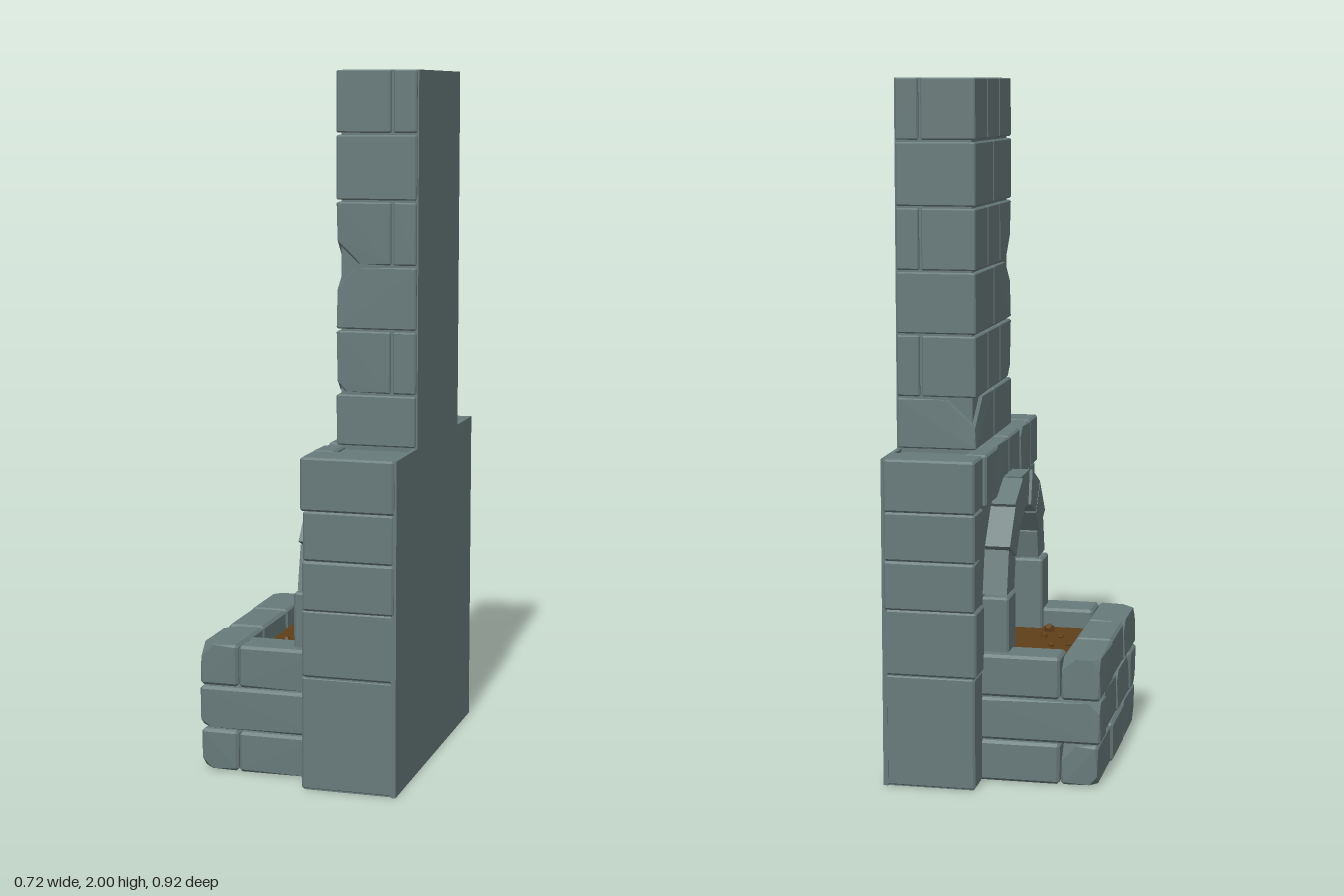
import * as THREE from 'three';
import { ConvexGeometry } from 'three/addons/geometries/ConvexGeometry.js';

// Local frame before the final turn: x = depth (back is +x), z = along the wall.
const TURN = 0.157;

export function createModel() {
  const stone = new THREE.MeshStandardMaterial({ color: 0x687a7a, flatShading: true });
  stone.name = 'greyStone';
  const soil = new THREE.MeshStandardMaterial({ color: 0x5f3f18, flatShading: true });
  soil.name = 'brownAsh';

  const model = new THREE.Group();
  model.name = 'fireplace';
  const body = new THREE.Group();
  body.name = 'stonework';
  body.rotation.y = TURN;
  model.add(body);

  let seed = 7;
  const rand = () => (seed = (seed * 16807) % 2147483647) / 2147483647;

  const group = (name) => {
    const g = new THREE.Group();
    g.name = name;
    body.add(g);
    return g;
  };
  const add = (parent, name, geo, mat = stone) => {
    const m = new THREE.Mesh(geo, mat);
    m.name = name;
    parent.add(m);
    return m;
  };
  const box = (parent, name, x, y, z) => {
    const g = new THREE.BoxGeometry(x[1] - x[0], y[1] - y[0], z[1] - z[0]);
    g.translate((x[0] + x[1]) / 2, (y[0] + y[1]) / 2, (z[0] + z[1]) / 2);
    return add(parent, name, g);
  };

  // Bevelled block; chips cut corners off: [signX, signY, signZ, size]
  const block = (parent, name, x, y, z, chips = [], b = 0.006) => {
    const pts = [];
    for (const i of [0, 1]) for (const j of [0, 1]) for (const k of [0, 1]) {
      const s = [i * 2 - 1, j * 2 - 1, k * 2 - 1];
      const chip = chips.find((c) => c[0] === s[0] && c[1] === s[1] && c[2] === s[2]);
      const p = [x[i], y[j], z[k]];
      for (let a = 0; a < 3; a++) {
        const q = p.map((v, n) => {
          if (chip) return v - s[n] * (n === a ? chip[3] * (0.8 + 0.4 * rand()) : 0.003);
          return v - (n === a ? 0 : s[n] * b);
        });
        pts.push(new THREE.Vector3(...q));
      }
    }
    return add(parent, name, new ConvexGeometry(pts));
  };

  // Shape drawn in (z, y), given thickness from x0 to x1
  const slab = (parent, name, shape, x0, x1) => {
    const g = new THREE.ExtrudeGeometry(shape, { depth: x1 - x0, bevelEnabled: false, curveSegments: 8 });
    g.rotateY(-Math.PI / 2);
    g.translate(x1, 0, 0);
    return add(parent, name, g);
  };

  // Lower wall with an arched recess, closed by a thin back
  const mid = 0.02, spring = 0.54, inner = 0.215, outer = 0.31;
  const wall = group('lowerWall');
  const outline = new THREE.Shape();
  outline.moveTo(-0.415, 0.005);
  outline.lineTo(mid - inner, 0.005);
  outline.lineTo(mid - inner, spring);
  outline.absarc(mid, spring, inner, Math.PI, 0, true);
  outline.lineTo(mid + inner, 0.005);
  outline.lineTo(0.455, 0.005);
  outline.lineTo(0.455, 0.94);
  outline.lineTo(-0.415, 0.94);
  outline.closePath();
  slab(wall, 'archedWall', outline, 0.03, 0.28);
  box(wall, 'backPanel', [0.278, 0.292], [0.005, 0.95], [-0.42, 0.462]);

  // Corner pillars, course by course
  const courses = [0.005, 0.33, 0.52, 0.66, 0.8, 0.95];
  const bulge = [-0.008, -0.004, 0.005, 0, 0.004];
  for (let i = 0; i < 5; i++) {
    const y = [courses[i], courses[i + 1]];
    const chipR = i === 1 ? [[-1, -1, -1, 0.03]] : i === 3 ? [[-1, 1, -1, 0.03]] : [];
    const chipL = i === 2 ? [[-1, 1, 1, 0.03]] : [];
    block(wall, 'pillarBlock', [0.018 + rand() * 0.008, 0.286], y, [0.35, 0.465 + bulge[i]], chipR);
    block(wall, 'pillarBlock', [0.018 + rand() * 0.008, 0.286], y, [-0.423 - bulge[i] * 0.6, -0.31], chipL);
  }

  // Row of coping stones above the arch
  const cope = [-0.31, -0.15, 0.03, 0.2, 0.35];
  for (let i = 0; i < 4; i++) {
    block(wall, 'copingStone', [0.008 + 0.012 * rand(), 0.08], [0.8, 0.95], [cope[i] + 0.003, cope[i + 1] - 0.003],
      i % 2 ? [[-1, 1, -1, 0.03]] : []);
  }

  // Arch stones and upright jambs
  const arch = group('arch');
  const count = 7;
  for (let i = 0; i < count; i++) {
    const a0 = (i / count) * Math.PI + 0.015, a1 = ((i + 1) / count) * Math.PI - 0.015;
    const s = new THREE.Shape();
    const at = (r, a) => [mid + r * Math.cos(a), spring + r * Math.sin(a)];
    s.moveTo(...at(inner - 0.01, a0));
    s.lineTo(...at(outer, a0));
    s.lineTo(...at(outer, a1));
    s.lineTo(...at(inner - 0.01, a1));
    s.closePath();
    slab(arch, 'archStone', s, -0.045 + 0.014 * rand(), 0.06);
  }
  for (const side of [-1, 1]) {
    const z = [mid + side * (inner - 0.01), mid + side * outer].sort((a, b) => a - b);
    block(arch, 'jambStone', [-0.045, 0.06], [0.3, spring - 0.003], z);
  }

  // Chimney: core plus staggered courses, flat at the back
  const chimney = group('chimney');
  box(chimney, 'chimneyCore', [0.07, 0.292], [0.94, 2], [-0.237, 0.24]);
  const rows = [0.95, 1.1, 1.28, 1.46, 1.64, 1.825, 2];
  for (let i = 0; i < 6; i++) {
    const y = [rows[i] + 0.003, rows[i + 1] - (i === 5 ? 0 : 0.003)];
    const odd = i % 2 === 1;
    const cuts = odd ? [-0.247, -0.08, 0.085, 0.25] : [-0.247, 0.0, 0.25];
    const depth = odd ? 0.215 : 0.288;
    const n = cuts.length - 1;
    for (let k = 0; k < n; k++) {
      const chips = [];
      if (k === n - 1 && i === 2) chips.push([-1, 1, 1, 0.07]);
      if (k === n - 1 && i === 3) chips.push([-1, -1, 1, 0.07]);
      if (k === n - 1 && i === 1) chips.push([-1, -1, 1, 0.03]);
      if (k === 0 && i === 0) chips.push([-1, 1, -1, 0.09]);
      block(chimney, 'chimneyBrick', [0.058, depth], y,
        [cuts[k] + (k ? 0.003 : 0), cuts[k + 1] - (k < n - 1 ? 0.003 : 0)], chips, 0.004);
    }
    if (odd) for (const z of [[-0.247, -0.15], [0.15, 0.25]]) {
      block(chimney, 'chimneyEndBrick', [0.222, 0.288], y, z, [], 0.004);
    }
  }

  // Raised hearth: three courses, open underneath
  const hearth = group('hearth');
  const levels = [0.005, 0.127, 0.254, 0.38];
  const front = -0.318, lip = -0.203, zA = -0.324, zB = 0.365, inA = -0.215, inB = 0.247;
  for (let i = 0; i < 3; i++) {
    const y = [levels[i] + 0.002, levels[i + 1] - 0.002];
    const odd = i === 1;
    const cuts = odd ? [inA, 0.015, inB] : [zA, -0.09, 0.13, zB];
    const n = cuts.length - 1;
    for (let k = 0; k < n; k++) {
      const chips = [];
      if (k === 0) chips.push([-1, i ? 1 : -1, -1, 0.03], [1, 1, -1, 0.04]);
      if (k === n - 1) chips.push([-1, i ? 1 : -1, 1, 0.035], [-1, 1, -1, 0.03]);
      block(hearth, 'hearthFrontBrick', [front + 0.008 * rand(), lip], y, [cuts[k] + 0.002, cuts[k + 1] - 0.002], chips, 0.008);
    }
    const x = [odd ? front : lip + 0.003, 0.035];
    block(hearth, 'hearthSideBrick', x, y, [zA, inA], odd ? [[-1, 1, -1, 0.03]] : [], 0.008);
    block(hearth, 'hearthSideBrick', x, y, [inB, zB], odd ? [[-1, -1, 1, 0.03]] : [[1, -1, 1, 0.03]], 0.008);
  }

  // Ash bed and scattered lumps
  const bedY = 0.32;
  const bed = new THREE.PlaneGeometry(0.49, 0.47).rotateX(-Math.PI / 2);
  bed.translate(0.04, bedY, 0.017);
  add(hearth, 'ashBed', bed, soil);
  const lumps = [[-0.11, -0.17, 0.017], [-0.12, -0.06, 0.011], [-0.16, 0.04, 0.01], [-0.11, 0.02, 0.01],
    [-0.125, 0.125, 0.008], [-0.072, 0.12, 0.012], [-0.073, 0.2, 0.018]];
  for (const [x, z, r] of lumps) {
    const m = add(hearth, 'ashLump', new THREE.DodecahedronGeometry(r), soil);
    m.position.set(x, bedY + r * 0.3, z);
    m.rotation.set(rand() * 3, rand() * 3, 0);
  }
  return model;
}
